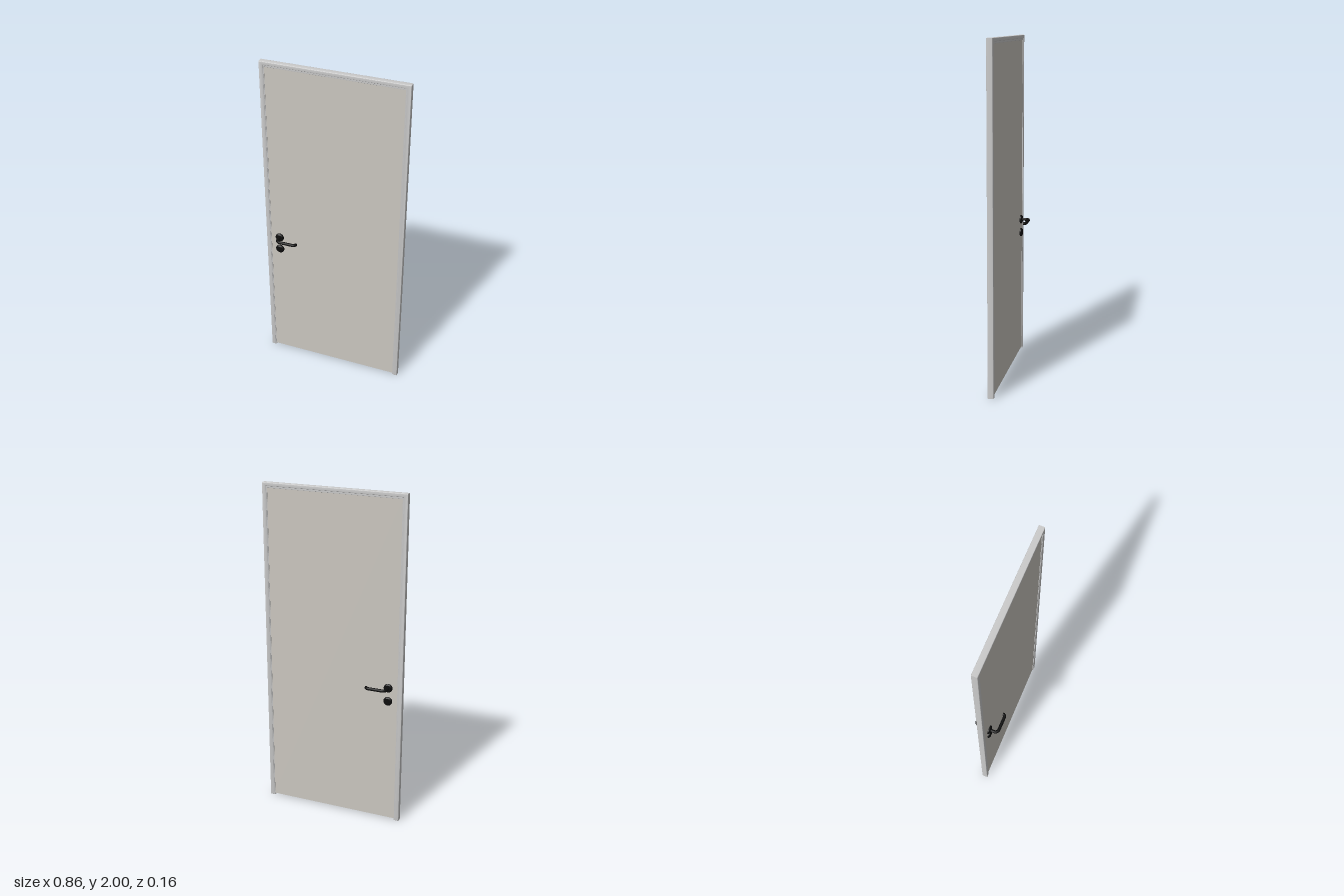
import * as THREE from 'three';
import { toCreasedNormals } from 'three/addons/utils/BufferGeometryUtils.js';

const frameMat = new THREE.MeshStandardMaterial({ color: 0xcccccc });
const panelMat = new THREE.MeshStandardMaterial({ color: 0xcbc7c0 });
const blackMat = new THREE.MeshStandardMaterial({ color: 0x0c0c0c });

function addMesh(parent, name, geometry, material) {
  const mesh = new THREE.Mesh(geometry, material);
  mesh.name = name;
  parent.add(mesh);
  return mesh;
}

// Three-sided surround, open at the floor, with a small bevel on its edges
function surround(outerX, topY, innerX, innerTop, halfDepth, bevel) {
  const b = bevel;
  const shape = new THREE.Shape([
    [-outerX + b, b], [-innerX - b, b], [-innerX - b, innerTop + b], [innerX + b, innerTop + b],
    [innerX + b, b], [outerX - b, b], [outerX - b, topY - b], [-outerX + b, topY - b],
  ].map(([x, y]) => new THREE.Vector2(x, y)));
  const depth = 2 * (halfDepth - b);
  const geo = new THREE.ExtrudeGeometry(shape, {
    depth, bevelEnabled: true, bevelSize: b, bevelThickness: b, bevelSegments: 3,
  });
  geo.translate(0, 0, -depth / 2);
  return toCreasedNormals(geo, 0.7);
}

// Chamfered round plate facing +z
function rosette() {
  const profile = [[0, 0.014], [0.026, 0.014], [0.026, 0.021], [0.019, 0.027], [0, 0.027]]
    .map(([r, z]) => new THREE.Vector2(r, z));
  const geo = new THREE.LatheGeometry(profile, 32);
  geo.rotateX(Math.PI / 2);
  return toCreasedNormals(geo, 0.4);
}

// Bent round bar: out of the door, along it, then curled back at the tip
function leverPath() {
  const v = (x, z) => new THREE.Vector3(x, 0, z);
  const path = new THREE.CurvePath();
  path.add(new THREE.LineCurve3(v(0, 0.015), v(0, 0.047)));
  path.add(new THREE.CubicBezierCurve3(v(0, 0.047), v(0, 0.059), v(0.01, 0.069), v(0.022, 0.069)));
  path.add(new THREE.LineCurve3(v(0.022, 0.069), v(0.105, 0.069)));
  path.add(new THREE.CubicBezierCurve3(v(0.105, 0.069), v(0.113, 0.069), v(0.12, 0.062), v(0.12, 0.054)));
  return path;
}

function handleSet() {
  const group = new THREE.Group();
  const path = leverPath();
  const radius = 0.0092;
  addMesh(group, 'handleRosette', rosette(), blackMat).position.y = 0.87;
  addMesh(group, 'lockRosette', rosette(), blackMat).position.y = 0.787;
  addMesh(group, 'lever', new THREE.TubeGeometry(path, 60, radius, 16), blackMat).position.y = 0.87;
  // Flat cap closing the lever's tip
  const cap = addMesh(group, 'leverTip', new THREE.CircleGeometry(radius, 16), blackMat);
  cap.rotation.y = Math.PI;
  cap.position.set(0.12, 0.87, 0.054);
  return group;
}

export function createModel() {
  const door = new THREE.Group();
  door.name = 'door';

  // Outer frame and the recessed stop lining its inside
  addMesh(door, 'frame', surround(0.43, 2, 0.405, 1.98, 0.0175, 0.003), frameMat);
  addMesh(door, 'frameStop', surround(0.41, 1.985, 0.4, 1.97, 0.0145, 0.001), frameMat);

  // Door leaf, just clear of the floor
  const leaf = addMesh(door, 'doorLeaf', new THREE.BoxGeometry(0.806, 1.965, 0.024), panelMat);
  leaf.position.y = 0.01 + 1.965 / 2;

  // Matching handles on both faces, mirrored through the leaf
  for (const side of [1, -1]) {
    const set = handleSet();
    set.name = side > 0 ? 'frontHandle' : 'backHandle';
    set.position.x = -0.345;
    set.scale.z = side;
    door.add(set);
  }
  return door;
}
